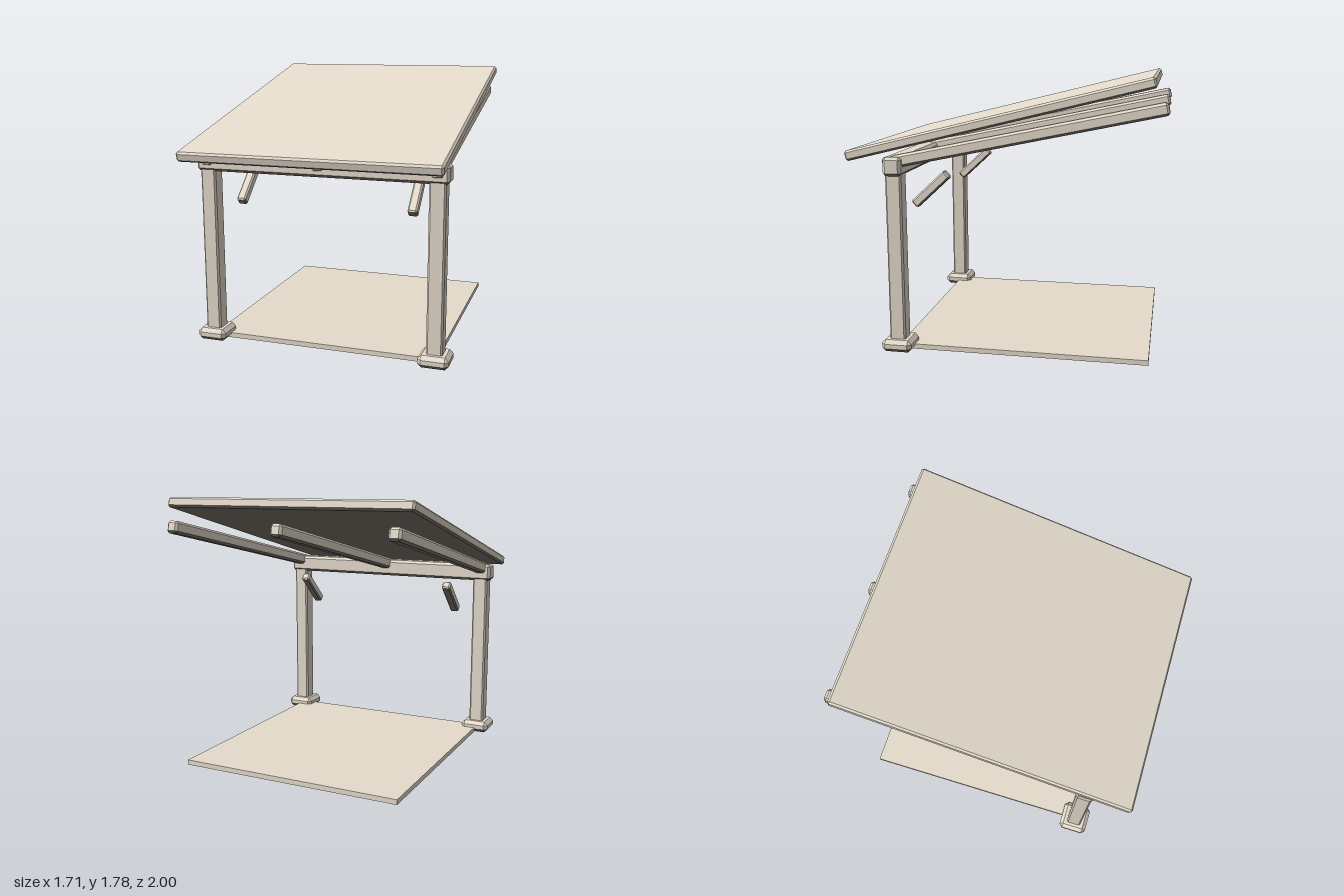
import * as THREE from 'three';
import { ConvexGeometry } from 'three/addons/geometries/ConvexGeometry.js';

// Box with every edge and corner cut by a flat chamfer c
function chamferBox(w, h, d, c) {
  const points = [];
  for (const sx of [-1, 1]) for (const sy of [-1, 1]) for (const sz of [-1, 1]) {
    const x = w / 2, y = h / 2, z = d / 2;
    points.push(
      new THREE.Vector3(sx * x, sy * (y - c), sz * (z - c)),
      new THREE.Vector3(sx * (x - c), sy * y, sz * (z - c)),
      new THREE.Vector3(sx * (x - c), sy * (y - c), sz * z)
    );
  }
  return new ConvexGeometry(points);
}

// Give faces that point down, once tilted, the second material
function splitUnderside(geometry, tilt) {
  const normals = geometry.getAttribute('normal');
  const normal = new THREE.Vector3();
  const axis = new THREE.Vector3(1, 0, 0);
  geometry.clearGroups();
  for (let i = 0; i < normals.count; i += 3) {
    normal.fromBufferAttribute(normals, i).applyAxisAngle(axis, tilt);
    geometry.addGroup(i, 3, normal.y < -0.4 ? 1 : 0);
  }
}

export function createModel() {
  const model = new THREE.Group();
  model.name = 'leanToShelter';

  const timber = new THREE.MeshStandardMaterial({ color: 0xe6dccd });
  timber.name = 'pale timber';
  const underside = new THREE.MeshStandardMaterial({ color: 0x80786e });
  underside.name = 'dark underside';

  function add(name, geometry, x, y, z, tilt = 0) {
    splitUnderside(geometry, tilt);
    const mesh = new THREE.Mesh(geometry, [timber, underside]);
    mesh.name = name;
    mesh.position.set(x, y, z);
    mesh.rotation.x = tilt;
    model.add(mesh);
  }

  // Thin floor slab behind the posts
  add('floor', new THREE.BoxGeometry(1.52, 0.033, 1.61).toNonIndexed(), 0, 0.0165, -0.112);

  // Posts on chamfered feet, with a short brace near each
  const foot = chamferBox(0.2, 0.08, 0.2, 0.025);
  const post = chamferBox(0.105, 1.14, 0.105, 0.011);
  const brace = chamferBox(0.062, 0.06, 0.305, 0.01);
  for (const [side, s] of [['left', 1], ['right', -1]]) {
    add(side + 'Foot', foot, s * 0.757, 0.04, 0.695);
    add(side + 'Post', post, s * 0.758, 0.62, 0.695);
    add(side + 'Brace', brace, s * 0.58, 1.037, 0.516, 0.75);
  }

  // Cross beam over the posts
  add('frontBeam', chamferBox(1.665, 0.12, 0.12, 0.018), 0, 1.212, 0.696);

  // Three sloping rafters
  const rafter = chamferBox(0.08, 0.08, 1.8, 0.015);
  ['rightRafter', 'middleRafter', 'leftRafter'].forEach((name, i) =>
    add(name, rafter, (i - 1) * 0.758, 1.409, -0.113, 0.209));

  // Roof panel, a little steeper than the rafters
  add('roof', chamferBox(1.69, 0.066, 1.97, 0.013), 0, 1.511, 0.039, 0.244);

  return model;
}
